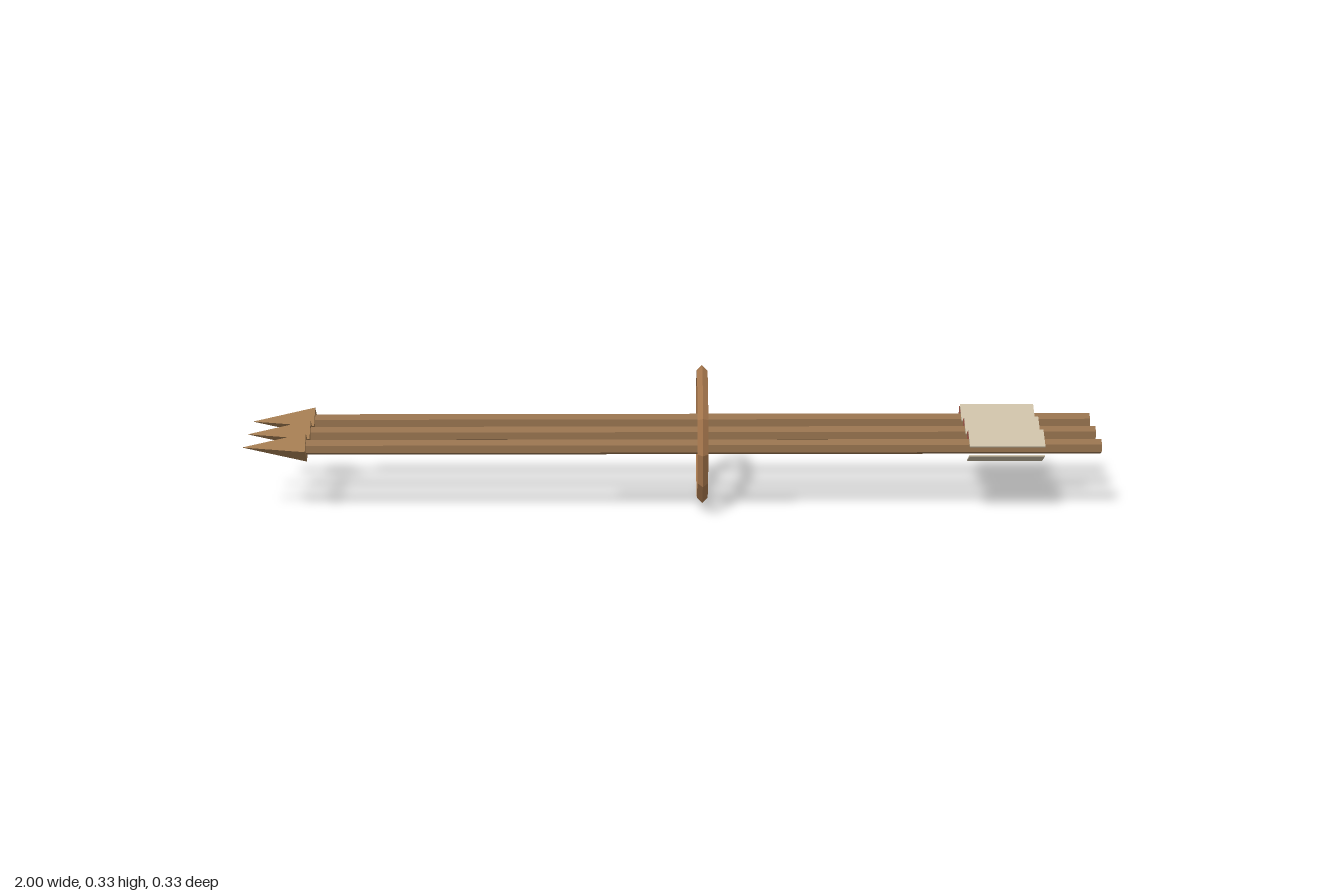
import * as THREE from 'three';

const flat = (name, color) => {
  const m = new THREE.MeshStandardMaterial({ color, flatShading: true });
  m.name = name;
  return m;
};

export function createModel() {
  const wood = flat('shaftWood', 0x94714d);
  const bronze = flat('headBronze', 0xa07a50);
  const leather = flat('ringLeather', 0xa9794e);
  const cream = flat('creamFeather', 0xc8bca4);
  const red = flat('redFeather', 0x9c5646);

  const centreY = 0.168;
  const model = new THREE.Group();
  model.name = 'arrowBundle';

  const add = (parent, name, geometry, material) => {
    const mesh = new THREE.Mesh(geometry, material);
    mesh.name = name;
    parent.add(mesh);
    return mesh;
  };

  // Hexagonal shaft lying along x, with an edge on top
  const shaftGeo = new THREE.CylinderGeometry(0.018, 0.018, 1.85, 6)
    .rotateY(Math.PI / 6).rotateZ(Math.PI / 2).translate(0.075, 0, 0);
  // Four-sided point aimed at -x
  const headGeo = new THREE.ConeGeometry(0.035, 0.15, 4)
    .rotateZ(Math.PI / 2).translate(-0.925, 0, 0);
  // Feather plate set off from the shaft, facing outwards
  const featherGeo = new THREE.BoxGeometry(0.175, 0.053, 0.004)
    .translate(0.778, 0, -0.0275);

  [-0.097, 0, 0.097].forEach((z) => {
    const arrow = new THREE.Group();
    arrow.name = 'arrow';
    arrow.position.set(0, centreY, z);
    add(arrow, 'shaft', shaftGeo, wood);
    add(arrow, 'head', headGeo, bronze);
    for (let i = 0; i < 3; i++) {
      const feather = add(arrow, 'feather', featherGeo, i === 0 ? red : cream);
      feather.rotation.x = i * Math.PI * 2 / 3;
    }
    model.add(arrow);
  });

  // Faceted ring around the bundle
  const ring = add(model, 'bindingRing', new THREE.TorusGeometry(0.154, 0.0125, 4, 12), leather);
  ring.rotation.y = Math.PI / 2;
  ring.position.set(0.072, centreY, 0);

  return model;
}
